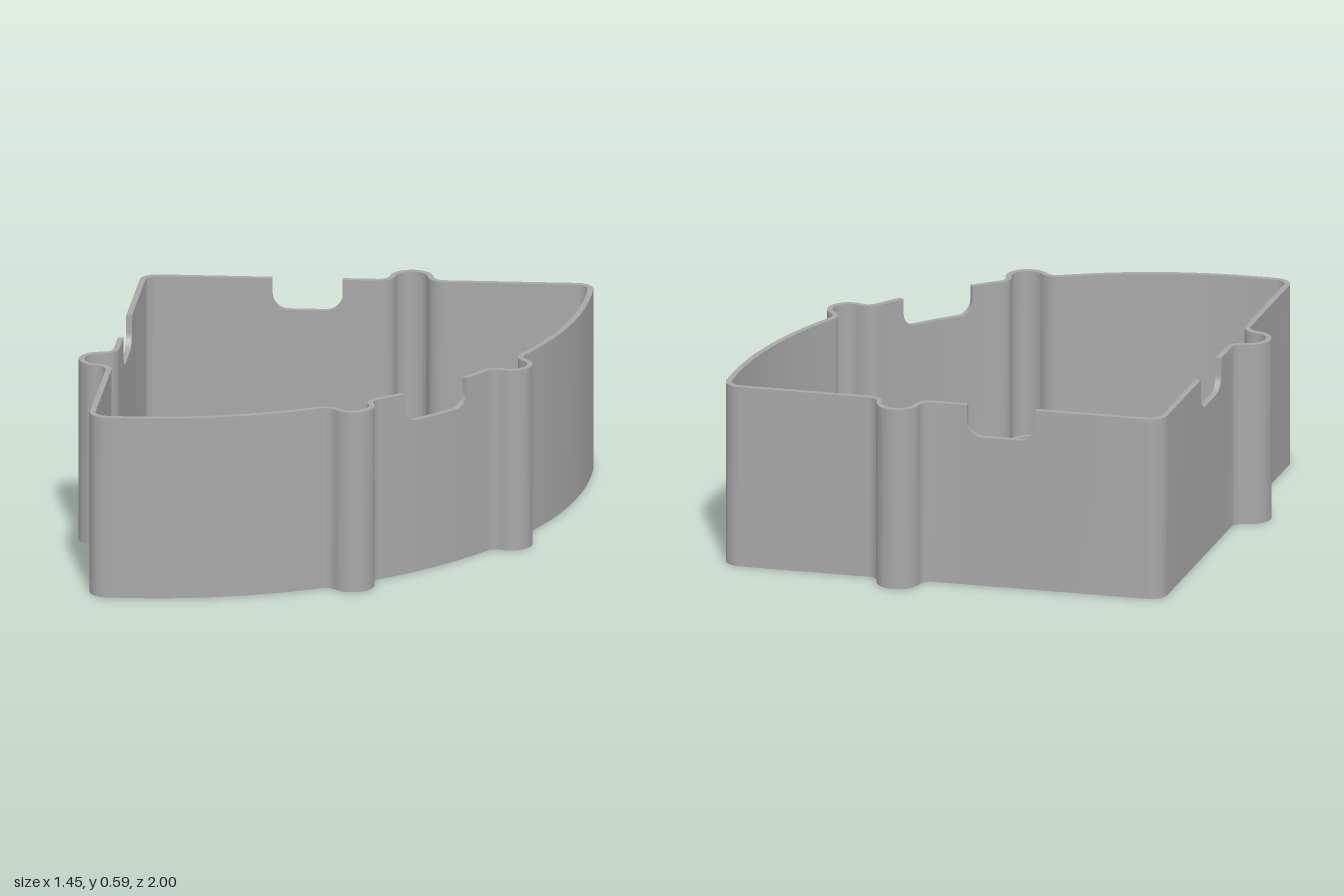
import * as THREE from 'three';
import { toCreasedNormals } from 'three/addons/utils/BufferGeometryUtils.js';

const TOP = 0.588, WALL = 0.018, LEDGE = 0.05, BASE = 0.015;
const TIP = [-0.675, 0], RADIUS = 1.3, HALF = 0.813; // inner sector
const OFF = 0.055;                                   // outer wall offset from the sector
const BOSS = 0.068, FILLET = 0.035, HOLE = 0.035;

const polar = (c, r, a) => [c[0] + r * Math.cos(a), c[1] + r * Math.sin(a)];
const angleTo = (p, q) => Math.atan2(q[1] - p[1], q[0] - p[0]);

// A sample is a centre, direction, radius, side (1 convex, -1 concave) and wall height
const sample = (c, a, r, side = 1, h = TOP) => ({ c, a, r, side, h });
const place = (s, inset) => polar(s.c, s.r - s.side * inset, s.a);

function arc(c, r, a0, a1, n, side = 1) {
  return Array.from({ length: n + 1 }, (_, i) => sample(c, a0 + (a1 - a0) * i / n, r, side));
}

// Screw boss blended into the wall by two concave fillets
function boss(b, f1, in1, f2, in2) {
  const fillet = (f, from, to) => {
    const d = Math.atan2(Math.sin(to - from), Math.cos(to - from));
    return arc(f, FILLET, from, from + d, 8, -1);
  };
  const a0 = angleTo(b, f1);
  let a1 = angleTo(b, f2);
  while (a1 <= a0) a1 += Math.PI * 2;
  return [...fillet(f1, in1, angleTo(f1, b)), ...arc(b, BOSS, a0, a1, 24), ...fillet(f2, angleTo(f2, b), in2)];
}

// Notch profile: [distance from the notch centre, wall height]
function notch(w, bottom, r) {
  const left = [[-w, TOP]];
  for (let i = 0; i <= 8; i++) {
    const t = i / 8 * Math.PI / 2;
    left.push([-w + r - r * Math.cos(t), bottom + r - r * Math.sin(t)]);
  }
  return [...left, ...left.map(([x, h]) => [-x, h]).reverse()];
}

// Half of the outline, from the tip to the middle of the curved wall
function outline() {
  const n = -HALF - Math.PI / 2, R = RADIUS + OFF;
  const along = (u, h = 0) => polar(polar(TIP, u, -HALF), h, n);

  const u = 0.785, h = 0.083;
  const a = Math.sqrt((BOSS + FILLET) ** 2 - (OFF + FILLET - h) ** 2);
  const sideBoss = along(u, h);

  const rb = 1.369, beta = -0.235, rf = R + FILLET;
  const g = Math.acos((rb * rb + rf * rf - (BOSS + FILLET) ** 2) / (2 * rb * rf));
  const curveBoss = polar(TIP, rb, beta);

  const half = [
    ...arc(TIP, OFF, Math.PI, 1.5 * Math.PI - HALF, 10),
    ...notch(0.109, 0.486, 0.05).map(([x, y]) => sample(along(0.464 + x), n, OFF, 1, y)),
    ...boss(sideBoss, along(u - a, OFF + FILLET), n + Math.PI, along(u + a, OFF + FILLET), n + Math.PI),
    ...arc(polar(TIP, RADIUS, -HALF), OFF, n, -HALF, 12),
    ...arc(TIP, R, -HALF, beta - g, 24),
    ...boss(curveBoss, polar(TIP, rf, beta - g), beta - g + Math.PI,
      polar(TIP, rf, beta + g), beta + g + Math.PI),
    ...arc(TIP, R, beta + g, -0.125 / R, 4),
    ...notch(0.125, 0.495, 0.045).slice(0, 10).map(([x, y]) => sample(TIP, x / R, R, 1, y)),
    sample(TIP, -0.04, R, 1, 0.495), sample(TIP, 0, R, 1, 0.495),
  ];
  const mirrored = half.map(s => ({ ...s, c: [s.c[0], -s.c[1]], a: -s.a })).reverse();
  return { samples: [...half, ...mirrored], bosses: [sideBoss, curveBoss] };
}

// Thin wall: outer, inner, rim and underside strips around the outline
function wallGeometry(samples) {
  const pos = [];
  const tri = (a, b, c) => {
    const area = b.clone().sub(a).cross(c.clone().sub(a)).length();
    if (area > 1e-9) for (const p of [a, b, c]) pos.push(p.x, p.y, p.z);
  };
  const quad = (a, b, c, d) => { tri(a, b, c); tri(a, c, d); };
  const cols = samples.map(s => {
    const [o, i] = [place(s, 0), place(s, WALL)];
    const v = (p, y) => new THREE.Vector3(p[0], y, -p[1]);
    return { ob: v(o, 0), ot: v(o, s.h), ib: v(i, 0), it: v(i, s.h) };
  });
  cols.forEach((p, k) => {
    const q = cols[(k + 1) % cols.length];
    quad(p.ob, q.ob, q.ot, p.ot);
    quad(q.ib, p.ib, p.it, q.it);
    quad(p.ot, q.ot, q.it, p.it);
    quad(q.ob, p.ob, p.ib, q.ib);
  });
  const g = new THREE.BufferGeometry();
  g.setAttribute('position', new THREE.Float32BufferAttribute(pos, 3));
  return toCreasedNormals(g, 0.6);
}

// Horizontal slab filling the inside of the wall
function slab(samples, y0, y1, holes = []) {
  const pts = samples.map(s => new THREE.Vector2(...place(s, WALL)));
  const shape = new THREE.Shape(pts.filter((p, i) => p.distanceTo(pts[(i + 1) % pts.length]) > 1e-5));
  shape.holes.push(...holes);
  const g = new THREE.ExtrudeGeometry(shape, { depth: y1 - y0, bevelEnabled: false, curveSegments: 32 });
  g.rotateX(-Math.PI / 2);
  g.translate(0, y0, 0);
  return toCreasedNormals(g, 0.6);
}

export function createModel() {
  const group = new THREE.Group();
  group.name = 'sectorHousing';
  const grey = new THREE.MeshStandardMaterial({ color: 0xa8a8a8 });
  grey.name = 'plasticGrey';
  const add = (name, geometry) => {
    const mesh = new THREE.Mesh(geometry, grey);
    mesh.name = name;
    group.add(mesh);
  };

  const { samples, bosses } = outline();

  // Sector-shaped recess and the blind screw holes in the ledge
  const recess = new THREE.Path();
  recess.moveTo(...TIP);
  recess.lineTo(...polar(TIP, RADIUS, -HALF));
  recess.absarc(...TIP, RADIUS, -HALF, HALF, false);
  recess.lineTo(...TIP);
  const holes = [recess];
  for (const [x, y] of bosses) for (const s of [1, -1]) {
    holes.push(new THREE.Path().absarc(x, s * y, HOLE, 0, Math.PI * 2, false));
  }

  add('wall', wallGeometry(samples));
  add('floor', slab(samples, 0, BASE));
  add('ledge', slab(samples, BASE, LEDGE, holes));
  return group;
}
